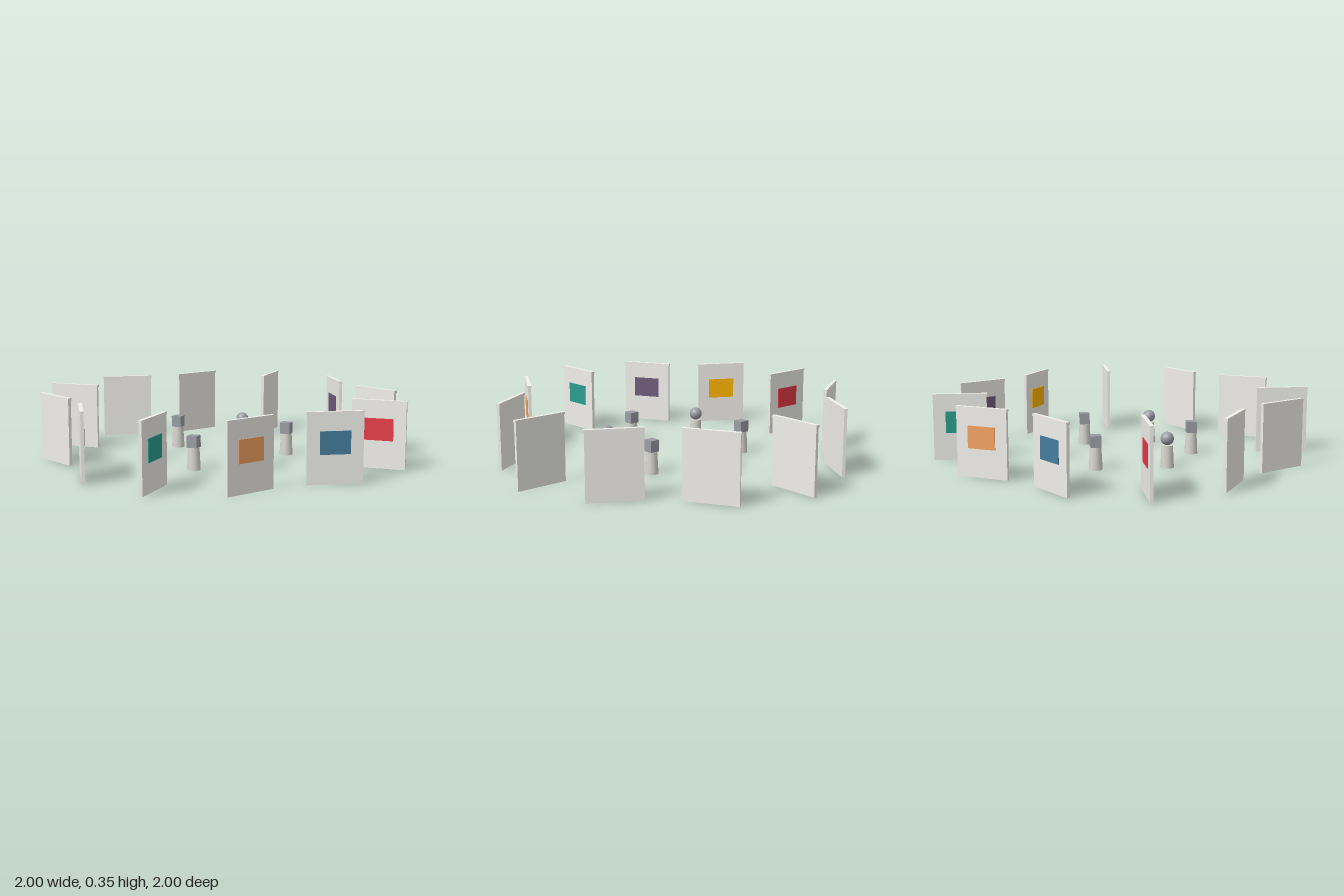
import * as THREE from 'three';

const material = (color) => new THREE.MeshStandardMaterial({ color });

function addMesh(parent, name, geometry, mat, x, y, z) {
  const mesh = new THREE.Mesh(geometry, mat);
  mesh.name = name;
  mesh.position.set(x, y, z);
  parent.add(mesh);
  return mesh;
}

export function createModel() {
  const model = new THREE.Group();
  model.name = 'galleryRing';

  const wallMat = material(0xf0efea);
  const plinthMat = material(0xd8d6ce);
  const stoneMat = material(0x9a9da3);
  const artMats = [0xe63946, 0x457b9d, 0xf4a261, 0x2a9d8f, 0x6d597a, 0xffb703].map(material);

  // Twelve display walls around the outside, each with one painting
  const wallGeo = new THREE.BoxGeometry(0.277, 0.338, 0.016);
  const railGeo = new THREE.BoxGeometry(0.283, 0.012, 0.02);
  const artGeo = new THREE.BoxGeometry(0.15, 0.112, 0.005);
  const wallRadius = 0.8585;
  for (let i = 0; i < 12; i++) {
    const a = (i * Math.PI) / 6;
    const panel = new THREE.Group();
    panel.name = 'displayPanel';
    panel.position.set(wallRadius * Math.cos(a), 0, wallRadius * Math.sin(a));
    panel.rotation.y = a;
    addMesh(panel, 'wall', wallGeo, wallMat, 0, 0.169, 0);
    addMesh(panel, 'topRail', railGeo, wallMat, 0, 0.343, 0);
    addMesh(panel, 'painting', artGeo, artMats[i % 6], 0, 0.2, 0.0095);
    model.add(panel);
  }

  // Six plinths inside, with ball and cube sculptures in turn
  const plinthGeo = new THREE.CylinderGeometry(0.029, 0.035, 0.115, 24);
  const ballGeo = new THREE.SphereGeometry(0.034, 24, 16);
  const cubeGeo = new THREE.BoxGeometry(0.054, 0.06, 0.054);
  for (let i = 0; i < 6; i++) {
    const a = Math.PI / 6 + (i * Math.PI) / 3;
    const sculpture = new THREE.Group();
    sculpture.name = 'sculpture';
    sculpture.position.set(0.364 * Math.cos(a), 0, 0.364 * Math.sin(a));
    addMesh(sculpture, 'plinth', plinthGeo, plinthMat, 0, 0.0575, 0);
    if (i % 2 === 0) addMesh(sculpture, 'ball', ballGeo, stoneMat, 0, 0.149, 0);
    else addMesh(sculpture, 'cube', cubeGeo, stoneMat, 0, 0.145, 0);
    model.add(sculpture);
  }

  return model;
}
